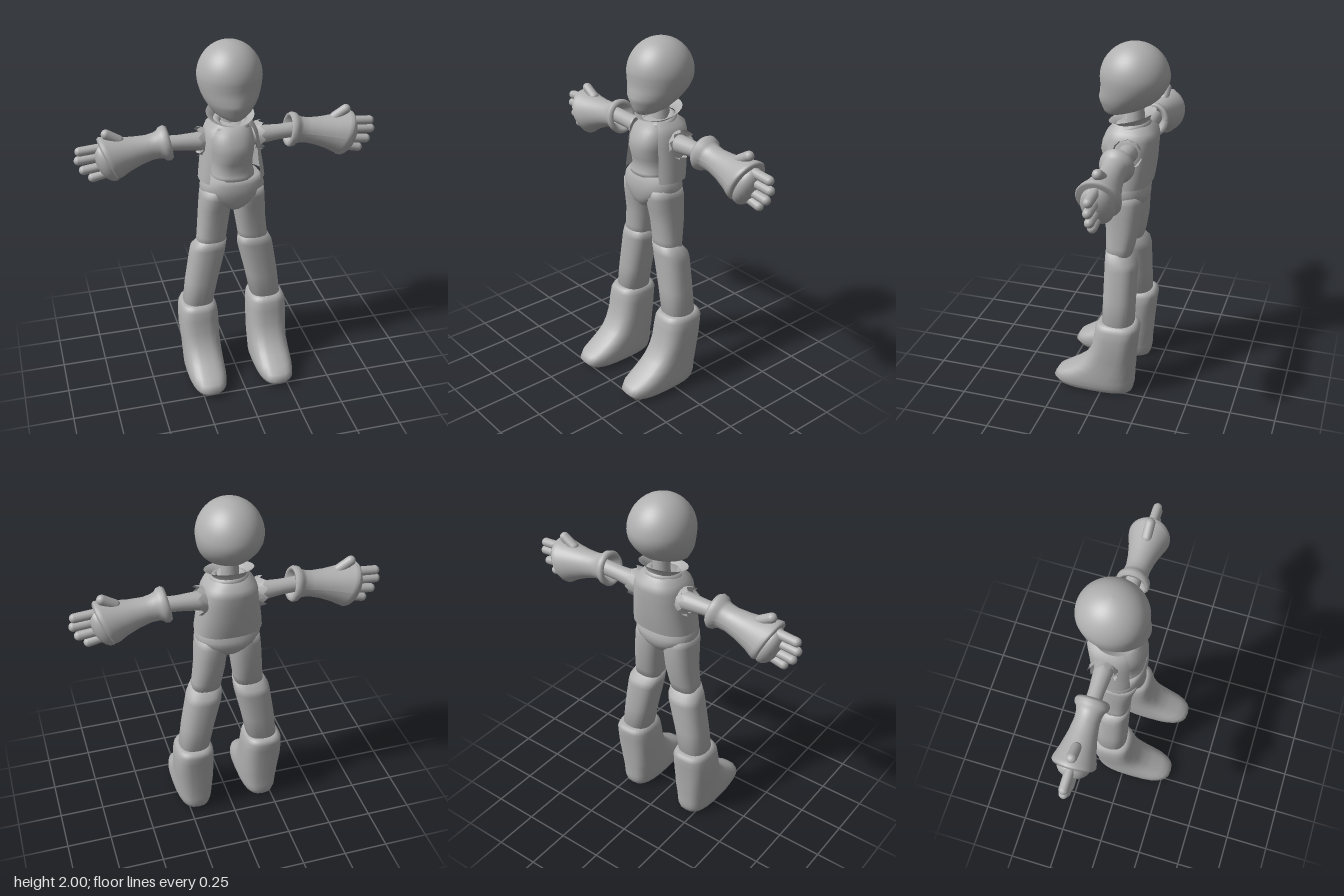
import * as THREE from 'three';

// Loft of horizontal sections: [y, xCentre, halfWidth, zFront, zBack, roundness]
function loft(rings, { sides = 32, power = 2, from = 0, to = 360 } = {}) {
  const closed = to - from === 360;
  const n = closed ? sides : sides + 1;
  const pos = [], index = [];
  const curve = (v, p) => Math.sign(v) * Math.abs(v) ** (2 / p);
  rings.forEach(([y, xc, hw, zf, zb, p = power], r) => {
    for (let i = 0; i < n; i++) {
      const a = THREE.MathUtils.degToRad(from + (to - from) * i / sides);
      pos.push(xc + hw * curve(Math.cos(a), p), y, (zf + zb) / 2 + (zf - zb) / 2 * curve(Math.sin(a), p));
      if (r === rings.length - 1 || (!closed && i === n - 1)) continue;
      const j = (i + 1) % n, b = r * n, t = b + n;
      index.push(b + i, t + i, b + j, t + i, t + j, b + j);
    }
  });
  const g = new THREE.BufferGeometry();
  g.setAttribute('position', new THREE.Float32BufferAttribute(pos, 3));
  g.setIndex(index);
  g.computeVertexNormals();
  return g;
}

// Adds a zero-size section at both ends
function capped(rings) {
  const tip = ([y, x, , f, b]) => [y, x, 0, (f + b) / 2, (f + b) / 2];
  return [tip(rings[0]), ...rings, tip(rings[rings.length - 1])];
}

const lathe = (points, sides = 32) =>
  new THREE.LatheGeometry(points.map(([r, y]) => new THREE.Vector2(r, y)), sides);

export function createModel() {
  const root = new THREE.Group();
  root.name = 'figure';
  const grey = new THREE.MeshStandardMaterial({ color: 0xb0b0b0, side: THREE.DoubleSide });
  grey.name = 'plain grey';
  const add = (name, geometry, parent = root) => {
    const m = new THREE.Mesh(geometry, grey);
    m.name = name;
    parent.add(m);
    return m;
  };
  // Rounded rod between two points
  const rod = (name, a, b, r, parent) => {
    const A = new THREE.Vector3(...a), B = new THREE.Vector3(...b);
    const d = B.clone().sub(A);
    const m = add(name, new THREE.CapsuleGeometry(r, d.length(), 6, 14), parent);
    m.position.copy(A).addScaledVector(d, 0.5);
    m.quaternion.setFromUnitVectors(new THREE.Vector3(0, 1, 0), d.normalize());
  };

  // Head: pointed chin in front, round skull above
  const head = [
    [1.61, 0, 0.035, 0.04, -0.01, 1.6], [1.622, 0, 0.07, 0.055, -0.09, 1.6],
    [1.645, 0, 0.105, 0.062, -0.15, 1.7], [1.68, 0, 0.13, 0.075, -0.21, 1.8],
    [1.705, 0, 0.145, 0.08, -0.24, 1.85], [1.74, 0, 0.16, 0.07, -0.268, 1.95],
    [1.78, 0, 0.17, 0.068, -0.29],
  ];
  for (let i = 0; i <= 12; i++) {
    const a = i / 12 * Math.PI / 2, c = Math.cos(a);
    head.push([1.815 + 0.185 * Math.sin(a), 0, 0.174 * c, -0.113 + 0.184 * c, -0.113 - 0.184 * c]);
  }
  add('head', loft(capped(head), { sides: 48 }));

  // Neck and tilted collars
  add('neck', new THREE.CylinderGeometry(0.042, 0.05, 0.16, 20)).position.set(0, 1.6, -0.12);
  const flare = add('flaredCollar', lathe([[0.085, -0.025], [0.1, 0], [0.13, 0.015]], 40));
  flare.position.set(0, 1.592, -0.105);
  flare.rotation.x = 0.26;
  const roll = add('rolledCollar', new THREE.TorusGeometry(0.08, 0.026, 12, 40));
  roll.position.set(0, 1.55, -0.095);
  roll.rotation.x = Math.PI / 2 + 0.22;

  // Shirt
  add('shirt', loft(capped([
    [1.25, 0, 0.11, 0.035, -0.16], [1.265, 0, 0.118, 0.052, -0.17], [1.285, 0, 0.118, 0.052, -0.17],
    [1.31, 0, 0.11, 0.038, -0.17], [1.36, 0, 0.108, 0.05, -0.175], [1.42, 0, 0.115, 0.066, -0.18],
    [1.47, 0, 0.12, 0.056, -0.19], [1.52, 0, 0.11, 0.033, -0.19], [1.56, 0, 0.075, 0, -0.18],
  ]), { power: 2.3 }));

  // Open vest around the back and sides
  add('vest', loft([
    [1.245, 0, 0.183, 0.05, -0.215], [1.3, 0, 0.176, 0.05, -0.225], [1.37, 0, 0.166, 0.045, -0.235],
    [1.44, 0, 0.158, 0.045, -0.24], [1.5, 0, 0.148, 0.04, -0.245], [1.54, 0, 0.13, 0.025, -0.24],
    [1.57, 0, 0.09, 0, -0.2],
  ], { sides: 36, power: 2.4, from: 138, to: 402 }));

  // Hips
  add('hips', loft(capped([
    [1.08, 0, 0.05, 0.02, -0.12], [1.1, 0, 0.08, 0.042, -0.16], [1.13, 0, 0.125, 0.052, -0.185],
    [1.165, 0, 0.17, 0.06, -0.2], [1.2, 0, 0.179, 0.062, -0.2], [1.24, 0, 0.168, 0.058, -0.185],
    [1.27, 0, 0.145, 0.045, -0.17],
  ]), { power: 2.3 }));

  for (const s of [1, -1]) {
    const side = s > 0 ? 'left' : 'right';
    const limb = (name, rings, power) => add(side + name,
      loft(capped(rings.map(([y, x, ...rest]) => [y, s * x, ...rest])), { sides: 28, power }));

    // Leg in two lengths with a step behind the knee
    limb('Thigh', [
      [0.82, 0.128, 0.085, 0, -0.13], [0.9, 0.117, 0.083, 0.005, -0.152], [1.0, 0.105, 0.086, 0.01, -0.17],
      [1.08, 0.098, 0.088, 0.025, -0.175], [1.15, 0.092, 0.088, 0.04, -0.18], [1.2, 0.088, 0.085, 0.04, -0.17],
    ], 2.4);
    limb('Shin', [
      [0.42, 0.207, 0.085, 0.005, -0.175], [0.6, 0.178, 0.093, 0.004, -0.175], [0.78, 0.142, 0.1, 0.005, -0.176],
      [0.815, 0.136, 0.099, 0.005, -0.168], [0.87, 0.121, 0.085, 0.005, -0.12],
    ], 2.4);

    // Boot with a long sloping toe
    limb('Boot', [
      [0.005, 0.2, 0.075, 0.2, -0.15], [0.018, 0.2, 0.095, 0.27, -0.17], [0.05, 0.2, 0.107, 0.295, -0.178],
      [0.085, 0.2, 0.109, 0.275, -0.18], [0.11, 0.2, 0.109, 0.235, -0.18], [0.15, 0.2, 0.109, 0.17, -0.182],
      [0.19, 0.2, 0.109, 0.12, -0.185], [0.24, 0.202, 0.11, 0.085, -0.188], [0.3, 0.204, 0.113, 0.058, -0.193],
      [0.38, 0.205, 0.113, 0.045, -0.2], [0.43, 0.205, 0.107, 0.038, -0.208], [0.455, 0.205, 0.095, 0.025, -0.2],
      [0.463, 0.205, 0.075, 0.005, -0.18],
    ], 2.8);

    // Arm, built pointing along +x and turned round for the other side
    const arm = new THREE.Group();
    arm.name = side + 'Arm';
    arm.position.z = -0.12;
    arm.rotation.y = s > 0 ? 0 : Math.PI;
    root.add(arm);
    const sleeveArm = add('upperArm', lathe([[0, 0], [0.055, 0], [0.05, 0.1], [0.042, 0.2], [0.042, 0.33]], 20), arm);
    sleeveArm.position.set(0.08, 1.445, 0);
    sleeveArm.rotation.z = -Math.PI / 2 + 0.04;

    // Ragged armhole edge
    const ragged = new THREE.CylinderGeometry(0.08, 0.07, 0.05, 20, 1, true);
    const rp = ragged.attributes.position;
    for (let i = 0; i < rp.count; i++) if (rp.getY(i) > 0 && i % 2) rp.setY(i, 0);
    ragged.computeVertexNormals();
    const hole = add('raggedArmhole', ragged, arm);
    hole.position.set(0.16, 1.45, 0);
    hole.rotation.z = -Math.PI / 2;

    // Gauntlet: cuff ring, narrow wrist, wide slanted end
    const gauntlet = lathe([
      [0.045, 0.06], [0.07, 0.005], [0.088, 0], [0.098, 0.015], [0.094, 0.037], [0.08, 0.05], [0.073, 0.07],
      [0.07, 0.11], [0.08, 0.18], [0.1, 0.26], [0.118, 0.31], [0.122, 0.33], [0.113, 0.342], [0, 0.342],
    ], 36);
    const gp = gauntlet.attributes.position;
    for (let i = 0; i < gp.count; i++) gp.setY(i, gp.getY(i) - gp.getY(i) / 0.342 * 0.27 * gp.getX(i));
    gauntlet.computeVertexNormals();
    const glove = add('gauntlet', gauntlet, arm);
    glove.position.set(0.33, 1.462, 0);
    glove.rotation.z = -Math.PI / 2 - 0.16;
    glove.scale.z = 0.94;

    // Palm, fingers and thumb
    const palm = add('palm', new THREE.SphereGeometry(1, 28, 18), arm);
    palm.position.set(0.665, 1.385, 0);
    palm.scale.set(0.06, 0.115, 0.085);
    palm.rotation.z = -0.4;
    [[1.475, 0.81, 1.463], [1.425, 0.818, 1.412], [1.37, 0.795, 1.353], [1.325, 0.75, 1.305]]
      .forEach(([y0, x1, y1], i) => rod('finger' + (i + 1), [0.66, y0, 0], [x1, y1, 0], 0.025, arm));
    rod('thumb', [0.6, 1.505, 0], [0.665, 1.545, 0], 0.027, arm);
  }
  return root;
}
